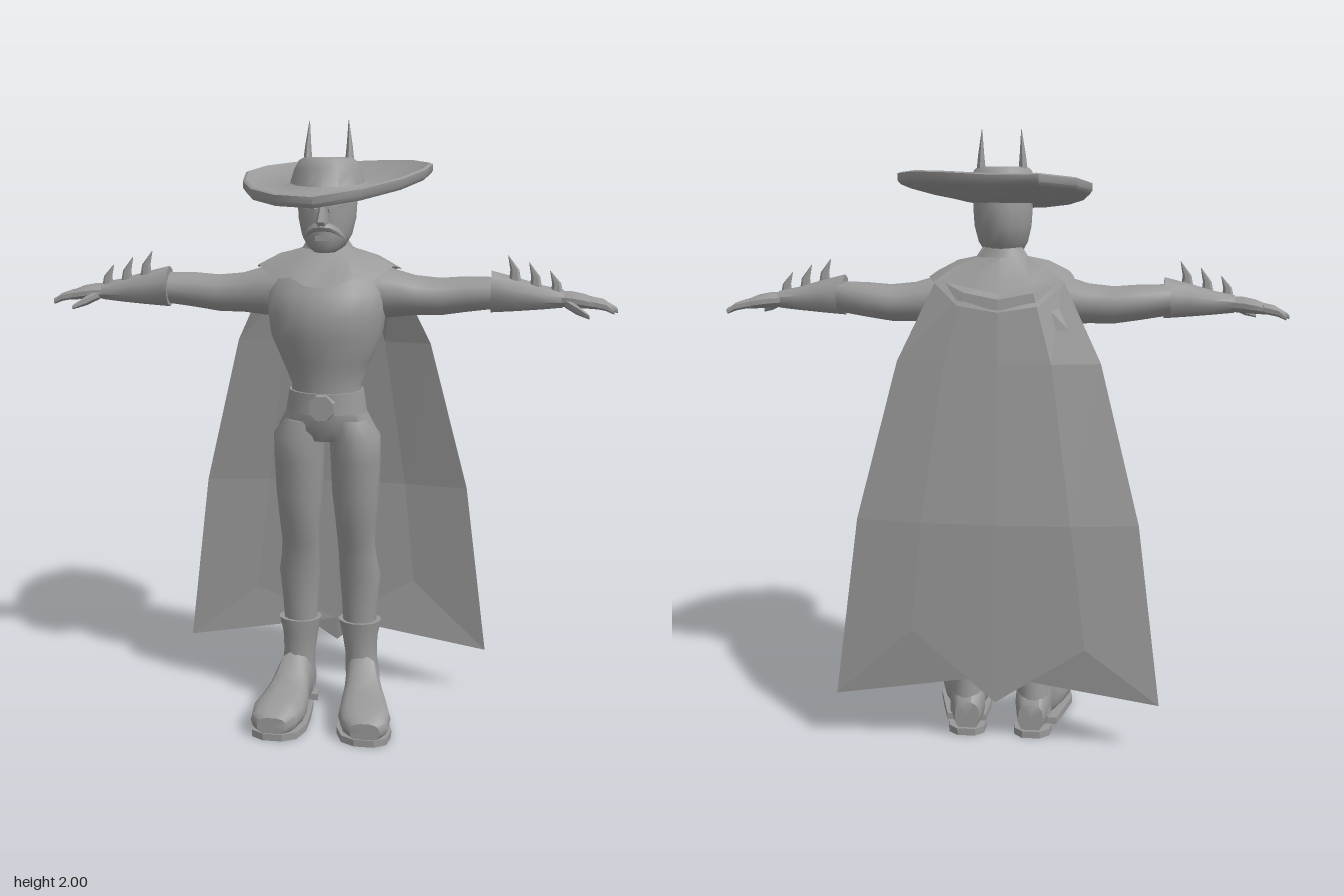
import * as THREE from 'three';
import { toCreasedNormals } from 'three/addons/utils/BufferGeometryUtils.js';

const clay = new THREE.MeshStandardMaterial({ color: 0x999999, side: THREE.DoubleSide });
clay.name = 'plain grey';

// Skin a list of point rings; optional end caps; crease sets the sharp-edge angle
function loft(rings, { closed = true, caps = true, crease = 0.7 } = {}) {
  const n = rings[0].length, pos = rings.flat(2), idx = [];
  const cols = closed ? n : n - 1;
  for (let i = 0; i < rings.length - 1; i++) {
    for (let j = 0; j < cols; j++) {
      const a = i * n + j, b = i * n + (j + 1) % n;
      idx.push(a, a + n, b, b, a + n, b + n);
    }
  }
  if (closed && caps) {
    [0, rings.length - 1].forEach((r, end) => {
      const c = pos.length / 3;
      for (let k = 0; k < 3; k++) pos.push(rings[r].reduce((s, p) => s + p[k], 0) / n);
      for (let j = 0; j < n; j++) {
        const a = r * n + j, b = r * n + (j + 1) % n;
        idx.push(...(end ? [c, b, a] : [c, a, b]));
      }
    });
  }
  const g = new THREE.BufferGeometry();
  g.setAttribute('position', new THREE.Float32BufferAttribute(pos, 3));
  g.setIndex(idx);
  return toCreasedNormals(g, crease);
}

const angles = (n) => Array.from({ length: n }, (_, i) => (i / n) * Math.PI * 2);
const soft = (v, p) => Math.sign(v) * Math.abs(v) ** p;

// Sections stacked upward: [y, cx, cz, rx, rz]
const loftY = (list, n = 14, opt) => loft(list.map(([y, cx, cz, rx, rz]) =>
  angles(n).map((a) => [cx + rx * Math.cos(a), y, cz + rz * Math.sin(a)])), opt);
// Sections running outward along +x: [x, cy, cz, ry, rz]
const loftX = (list, n = 12, opt) => loft(list.map(([x, cy, cz, ry, rz]) =>
  angles(n).map((a) => [x, cy + ry * Math.cos(a), cz - rz * Math.sin(a)])), opt);
// Sections running backward along -z, boxy: [z, cx, cy, rx, ry]
const loftZ = (list, n = 14, opt) => loft(list.map(([z, cx, cy, rx, ry]) =>
  angles(n).map((a) => [cx + rx * soft(Math.cos(a), 0.75), cy + ry * soft(Math.sin(a), 0.75), z])), opt);

function mirrored(geo) {
  const g = geo.index ? geo.toNonIndexed() : geo.clone();
  g.scale(-1, 1, 1);
  for (const name of ['position', 'normal']) {
    const arr = g.attributes[name].array;
    for (let i = 0; i < arr.length; i += 9) {
      for (let k = 3; k < 6; k++) [arr[i + k], arr[i + k + 3]] = [arr[i + k + 3], arr[i + k]];
    }
  }
  return g;
}

export function createModel() {
  const model = new THREE.Group();
  model.name = 'capedFigure';
  const add = (name, geo) => {
    const m = new THREE.Mesh(geo, clay);
    m.name = name;
    model.add(m);
  };
  const pair = (name, geo) => {
    add('left' + name, geo);
    add('right' + name, mirrored(geo));
  };

  // Torso and neck
  add('torso', loftY([
    [0.99, 0, 0.03, 0.09, 0.075], [1.03, 0, 0.03, 0.16, 0.1], [1.1, 0, 0.04, 0.125, 0.1],
    [1.17, 0, 0.04, 0.112, 0.098], [1.25, 0, 0.042, 0.145, 0.112], [1.33, 0, 0.045, 0.18, 0.13],
    [1.4, 0, 0.04, 0.19, 0.14], [1.47, 0, 0.03, 0.2, 0.13], [1.53, 0, 0.01, 0.175, 0.1],
    [1.58, 0, 0, 0.1, 0.07], [1.64, 0, 0.01, 0.06, 0.06]], 18, { crease: 1 }));

  // Belt and buckle
  add('belt', loftY([[1.085, 0, 0.04, 0.133, 0.108], [1.155, 0, 0.04, 0.122, 0.107]], 18));
  const buckle = new THREE.CylinderGeometry(0.042, 0.046, 0.03, 8);
  buckle.rotateY(Math.PI / 8).rotateX(Math.PI / 2).translate(0, 1.112, 0.148);
  add('buckle', toCreasedNormals(buckle, 0.3));

  // Legs
  pair('Leg', loftY([
    [0.28, 0.102, -0.045, 0.055, 0.05], [0.4, 0.103, -0.045, 0.062, 0.056], [0.5, 0.104, -0.038, 0.07, 0.062],
    [0.57, 0.098, -0.015, 0.064, 0.054], [0.62, 0.095, 0, 0.063, 0.05], [0.7, 0.095, 0.018, 0.068, 0.063],
    [0.8, 0.094, 0.022, 0.078, 0.078], [0.92, 0.094, 0.026, 0.083, 0.095], [1.0, 0.092, 0.03, 0.085, 0.105],
    [1.06, 0.07, 0.035, 0.068, 0.09]], 14, { crease: 1 }));

  // Boots: shaft with cuff, foot, sole and heel
  pair('BootShaft', loftY([
    [0.06, 0.115, -0.055, 0.06, 0.065], [0.14, 0.112, -0.05, 0.058, 0.065], [0.2, 0.108, -0.05, 0.055, 0.056],
    [0.27, 0.104, -0.045, 0.061, 0.056], [0.33, 0.104, -0.043, 0.074, 0.06]]));
  pair('BootFoot', loftZ([
    [0.25, 0.155, 0.05, 0.05, 0.03], [0.225, 0.152, 0.058, 0.077, 0.042], [0.17, 0.145, 0.064, 0.088, 0.05],
    [0.1, 0.135, 0.069, 0.08, 0.057], [0.05, 0.128, 0.082, 0.068, 0.07], [0, 0.118, 0.11, 0.058, 0.098],
    [-0.07, 0.112, 0.1, 0.06, 0.085], [-0.125, 0.108, 0.065, 0.042, 0.05]]));
  const slab = (pts, y0, y1) => loft([y0, y1].map((y) => pts.map(([x, z]) => [x, y, z])), { crease: 0.3 });
  pair('BootSole', slab([[0.19, -0.02], [0.215, 0.08], [0.236, 0.17], [0.225, 0.23], [0.185, 0.254],
    [0.12, 0.254], [0.075, 0.23], [0.052, 0.17], [0.05, 0.08], [0.056, -0.02]], 0, 0.024));
  pair('BootHeel', slab([[0.178, -0.068], [0.17, -0.11], [0.14, -0.137], [0.08, -0.137],
    [0.052, -0.11], [0.048, -0.068]].reverse(), 0, 0.024));

  // Arms and gauntlets
  pair('Arm', loftX([
    [0.1, 1.46, 0.005, 0.09, 0.09], [0.2, 1.465, 0, 0.08, 0.085], [0.28, 1.457, -0.005, 0.064, 0.074],
    [0.36, 1.453, -0.01, 0.06, 0.07], [0.44, 1.462, -0.01, 0.057, 0.067], [0.54, 1.47, 0.005, 0.05, 0.052]],
    12, { crease: 1 }));
  pair('Gauntlet', loftX([
    [0.52, 1.475, 0.017, 0.066, 0.056], [0.6, 1.468, 0.02, 0.053, 0.049],
    [0.68, 1.46, 0.022, 0.038, 0.041], [0.745, 1.457, 0.022, 0.028, 0.034]], 10));
  [[0.595, 1.51, 1.59], [0.66, 1.49, 1.57], [0.725, 1.475, 1.545]].forEach(([x, y, tip], i) =>
    pair('GauntletSpike' + (i + 1), loftY([
      [y - 0.02, x, 0.035, 0.022, 0.012], [y + (tip - y) * 0.45, x - 0.003, 0.035, 0.014, 0.009],
      [tip, x - 0.024, 0.035, 0.001, 0.001]], 6)));

  // Hands
  pair('Palm', loftX([
    [0.72, 1.457, 0.022, 0.024, 0.03], [0.77, 1.455, 0.02, 0.026, 0.045],
    [0.81, 1.45, 0.015, 0.023, 0.054], [0.85, 1.441, 0.013, 0.016, 0.05]], 10));
  [[-0.03, -0.052, 0.9], [-0.002, -0.015, 0.914], [0.026, 0.022, 0.914], [0.05, 0.057, 0.9]].forEach(([z0, z1, x], i) =>
    pair('Finger' + (i + 1), loftX([
      [0.83, 1.447, z0, 0.014, 0.014], [0.875, 1.438, (z0 + z1) / 2, 0.013, 0.013], [x, 1.422, z1, 0.007, 0.008]], 6)));
  pair('Thumb', loftX([
    [0.75, 1.447, 0.045, 0.015, 0.015], [0.785, 1.43, 0.078, 0.015, 0.016], [0.822, 1.412, 0.106, 0.007, 0.008]], 6));

  // Head and face
  add('head', loftY([
    [1.598, 0, 0.065, 0.035, 0.05], [1.615, 0, 0.045, 0.06, 0.083], [1.65, 0, 0.03, 0.08, 0.1],
    [1.7, 0, 0.022, 0.092, 0.108], [1.76, 0, 0.02, 0.096, 0.11], [1.82, 0, 0.02, 0.09, 0.1]], 16, { crease: 1 }));
  add('nose', loftY([
    [1.682, 0, 0.13, 0.02, 0.028], [1.695, 0, 0.135, 0.021, 0.034], [1.745, 0, 0.12, 0.009, 0.016]], 6));
  pair('Moustache', loftX([
    [-0.002, 1.68, 0.136, 0.014, 0.022], [0.025, 1.677, 0.132, 0.013, 0.017],
    [0.048, 1.664, 0.117, 0.011, 0.014], [0.066, 1.645, 0.094, 0.004, 0.006]], 8));
  const brow = new THREE.BoxGeometry(0.06, 0.012, 0.02);
  brow.rotateZ(0.3).rotateY(0.4).translate(0.045, 1.737, 0.117);
  pair('Brow', brow);
  add('lowerLip', new THREE.BoxGeometry(0.045, 0.012, 0.02).translate(0, 1.643, 0.127));

  // Wide tilted hat: underside, rim, dished brim and dented crown
  const outline = [[0.325, -0.07], [0.31, 0.035], [0.25, 0.17], [0.14, 0.285], [0, 0.335], [-0.12, 0.3], [-0.21, 0.2],
    [-0.265, 0.05], [-0.29, -0.12], [-0.25, -0.245], [-0.14, -0.35], [0, -0.34], [0.15, -0.26], [0.26, -0.18]];
  const rim = (s, dy) => outline.map(([x, z]) =>
    [x * s, 1.825 - 0.125 * z + 0.11 * Math.max(0, x) + dy, z * s]);
  const oval = (rx, rz, y, tilt = 0) => outline.map(([x, z]) => {
    const a = Math.atan2(z, x);
    return [rx * Math.cos(a), y - tilt * Math.sin(a), 0.015 + rz * Math.sin(a)];
  });
  add('hat', loft([oval(0.08, 0.09, 1.77), oval(0.11, 0.12, 1.775, 0.01), rim(0.97, -0.037), rim(1, -0.025), rim(1, -0.004),
    rim(0.97, 0), rim(0.9, -0.015), oval(0.15, 0.165, 1.797, 0.015), oval(0.118, 0.132, 1.81, 0.01),
    oval(0.105, 0.118, 1.85), oval(0.09, 0.104, 1.878), oval(0.075, 0.09, 1.887), oval(0.03, 0.06, 1.872)], { crease: 0.8 }));
  pair('Horn', loftY([
    [1.85, 0.067, -0.005, 0.017, 0.038], [1.92, 0.066, -0.012, 0.01, 0.02], [2, 0.062, -0.02, 0.001, 0.001]], 8));

  // Shoulder mantle with a jagged hem
  const half = [[0, 1.495, 0.168], [0.05, 1.5, 0.17], [0.1, 1.525, 0.148], [0.155, 1.515, 0.128], [0.215, 1.555, 0.06],
    [0.235, 1.54, -0.02], [0.21, 1.53, -0.1], [0.13, 1.46, -0.145], [0, 1.44, -0.155]];
  const hem = [...half, ...half.slice(1, -1).reverse().map(([x, y, z]) => [-x, y, z])];
  const collar = hem.map(([x, , z]) => {
    const a = Math.atan2(z, x);
    return [0.085 * Math.cos(a), 1.605, 0.075 * Math.sin(a)];
  });
  const between = hem.map((p, i) => p.map((v, k) => (v + collar[i][k]) / 2 + (k === 1 ? 0.01 : 0)));
  add('mantle', loft([collar, between, hem], { caps: false, crease: 0.4 }));

  // Cape: faceted sheet widening to a pointed hem
  const cape = [
    [[-0.2, 1.54, -0.09], [-0.11, 1.5, -0.135], [0, 1.48, -0.148], [0.11, 1.5, -0.135], [0.2, 1.54, -0.09]],
    [[-0.325, 1.28, -0.135], [-0.17, 1.28, -0.165], [0, 1.28, -0.172], [0.17, 1.28, -0.165], [0.325, 1.28, -0.135]],
    [[-0.455, 0.77, -0.19], [-0.24, 0.77, -0.222], [0, 0.77, -0.228], [0.24, 0.77, -0.222], [0.455, 0.77, -0.19]],
    [[-0.533, 0.17, -0.212], [-0.29, 0.36, -0.23], [0, 0.17, -0.236], [0.275, 0.41, -0.23], [0.533, 0.17, -0.212]]];
  const inner = cape.map((row) => row.map(([x, y, z]) => [x, y, z + 0.008]).reverse());
  add('cape', loft(cape.map((row, i) => [...row, ...inner[i]]).reverse(), { crease: 0.02 }));

  return model;
}
